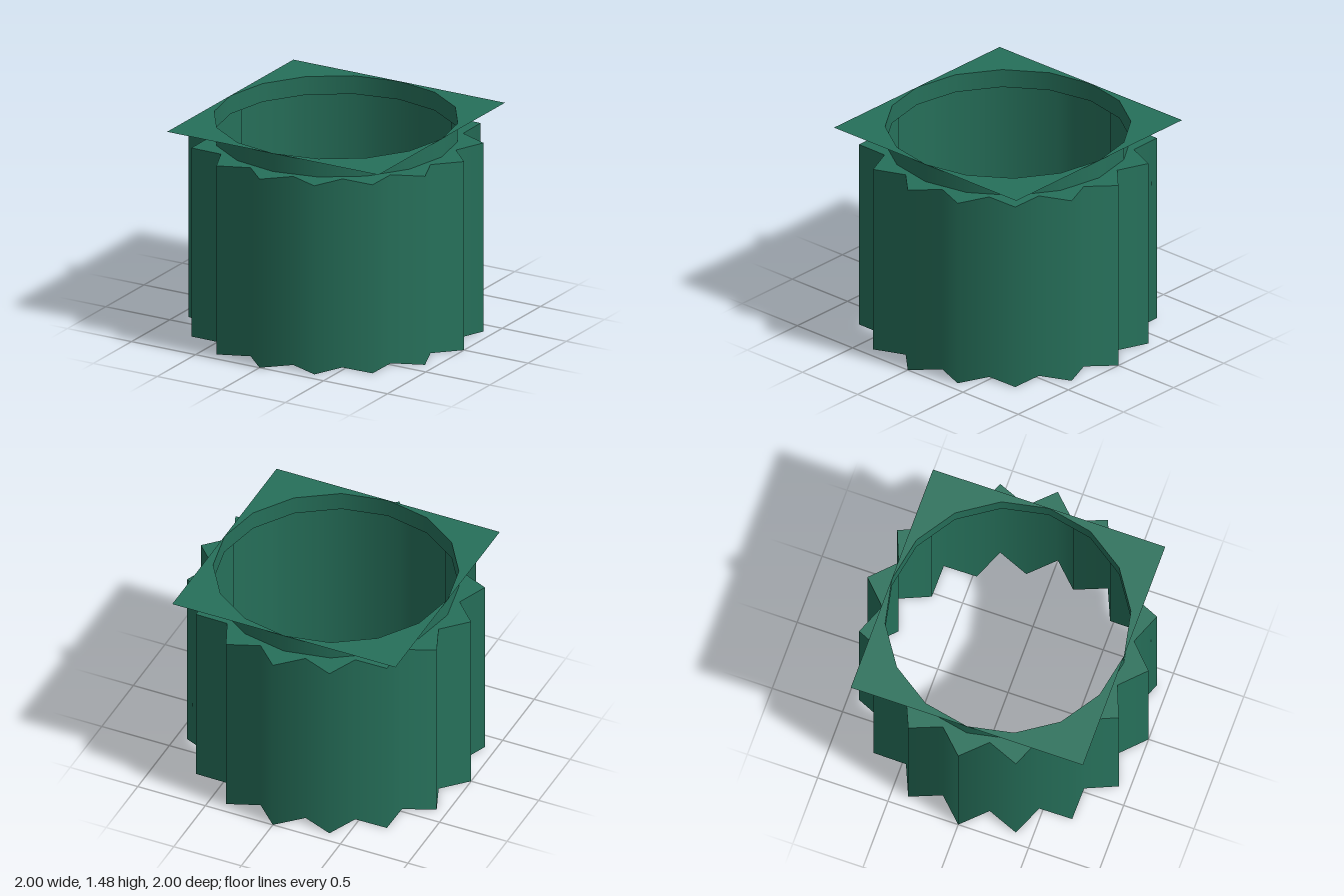
import * as THREE from 'three';

const POINTS = 16;
const BODY_H = 1.345, TOP_H = 1.475;
const TIP_R = 1, NOTCH_R = 0.854, NECK_R = 0.825;

// Closed loop of points; radius alternates between r1 and r2
function ring(count, r1, r2 = r1) {
  return Array.from({ length: count }, (_, i) => {
    const a = (i / count) * Math.PI * 2, r = i % 2 ? r2 : r1;
    return new THREE.Vector2(Math.cos(a) * r, Math.sin(a) * r);
  });
}

export function createModel() {
  const group = new THREE.Group();
  const green = new THREE.MeshStandardMaterial({ color: 0x26705a, side: THREE.DoubleSide });
  green.name = 'deep green';

  function add(name, geometry, y) {
    const mesh = new THREE.Mesh(geometry, green);
    mesh.name = name;
    mesh.position.y = y;
    group.add(mesh);
  }

  // Flat horizontal sheet with the neck opening cut out
  function sheet(outline) {
    const shape = new THREE.Shape(outline);
    shape.holes.push(new THREE.Path(ring(POINTS, NECK_R).reverse()));
    return new THREE.ShapeGeometry(shape).rotateX(-Math.PI / 2);
  }

  // Fluted wall: an open cylinder with every other column pulled in,
  // keeping its smooth radial normals
  const wall = new THREE.CylinderGeometry(TIP_R, TIP_R, BODY_H, POINTS * 2, 1, true);
  const pos = wall.attributes.position;
  const columns = POINTS * 2 + 1;
  for (let i = 0; i < pos.count; i++) {
    if ((i % columns) % 2 === 1) {
      pos.setX(i, pos.getX(i) * NOTCH_R);
      pos.setZ(i, pos.getZ(i) * NOTCH_R);
    }
  }
  add('flutedWall', wall, BODY_H / 2);

  // Star-shaped ledge between the wall and the neck
  add('starLedge', sheet(ring(POINTS * 2, TIP_R, NOTCH_R)), BODY_H);

  // Short neck
  const neckH = TOP_H - BODY_H;
  add('neck', new THREE.CylinderGeometry(NECK_R, NECK_R, neckH, POINTS, 1, true), BODY_H + neckH / 2);

  // Square top plate
  const s = NECK_R + 0.001;
  const square = [[-s, -s], [s, -s], [s, s], [-s, s]].map(([x, y]) => new THREE.Vector2(x, y));
  add('squareTopPlate', sheet(square), TOP_H);

  return group;
}
